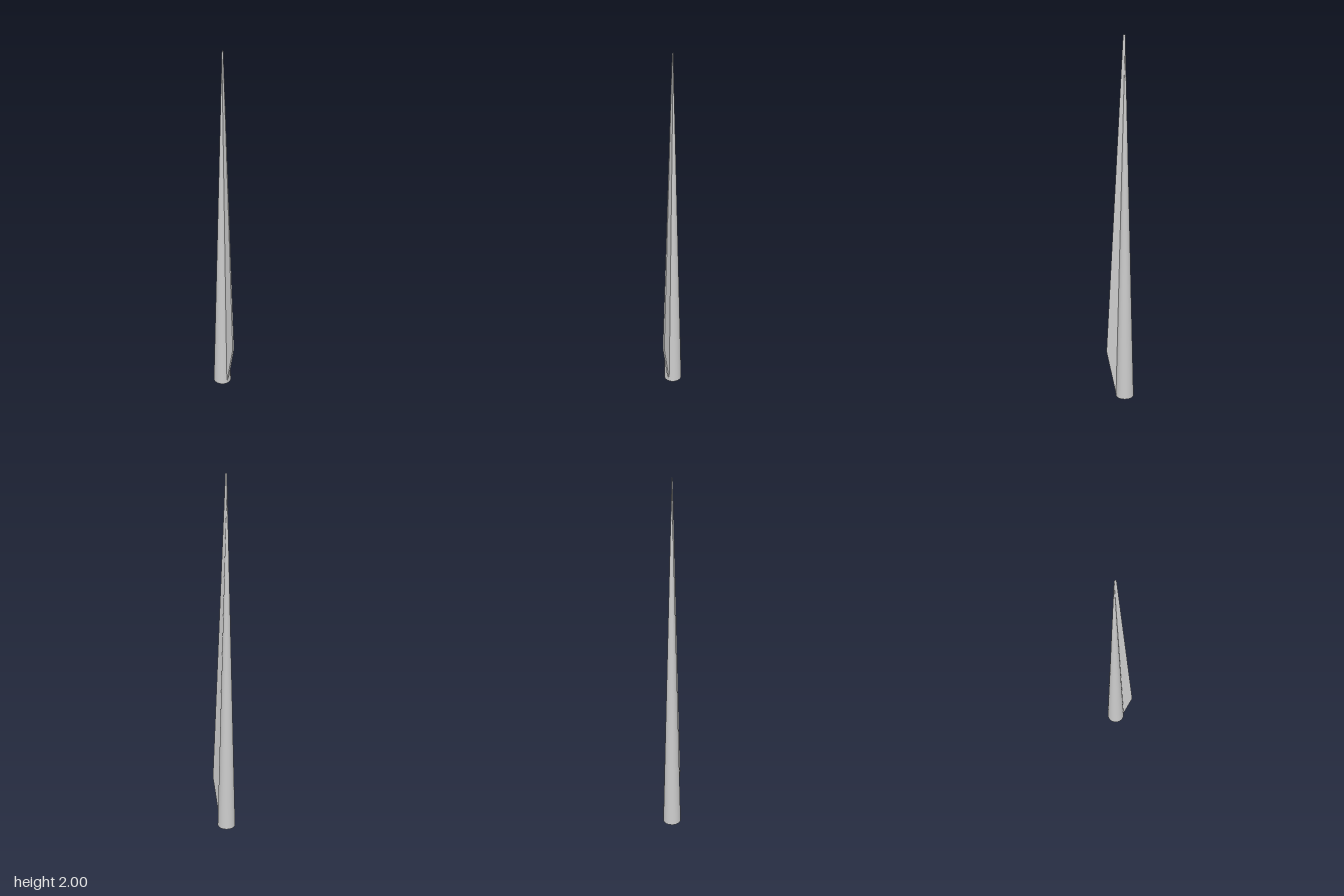
import * as THREE from 'three';

const HEIGHT = 2;
const AXIS_X = -0.026;
const ROOT_RADIUS = 0.049;
const ELBOW_Y = 0.27;
const FIN_THICKNESS = 0.01;

export function createModel() {
  const group = new THREE.Group();
  group.name = 'rotorBlade';
  const material = new THREE.MeshStandardMaterial({ color: 0xcccccc, side: THREE.DoubleSide });

  // Round spar tapering to a point
  const spar = new THREE.Mesh(new THREE.ConeGeometry(ROOT_RADIUS, HEIGHT, 32), material);
  spar.name = 'taperedSpar';
  spar.position.set(AXIS_X, HEIGHT / 2, 0);
  group.add(spar);

  // Flat trailing fin: widest at the elbow, running up to the tip
  const outline = new THREE.Shape([
    new THREE.Vector2(AXIS_X, 0.002),
    new THREE.Vector2(0.021, 0.002),
    new THREE.Vector2(0.074, ELBOW_Y),
    new THREE.Vector2(-0.015, HEIGHT),
    new THREE.Vector2(AXIS_X, HEIGHT),
  ]);
  const finGeometry = new THREE.ExtrudeGeometry(outline, { depth: FIN_THICKNESS, bevelEnabled: false });
  finGeometry.translate(0, 0, -FIN_THICKNESS / 2);

  // Thin the fin towards the tip
  const pos = finGeometry.attributes.position;
  for (let i = 0; i < pos.count; i++) {
    const taper = Math.min(1, (HEIGHT - pos.getY(i)) / (HEIGHT - ELBOW_Y));
    pos.setZ(i, pos.getZ(i) * Math.max(taper, 0.02));
  }
  finGeometry.computeVertexNormals();

  const fin = new THREE.Mesh(finGeometry, material);
  fin.name = 'trailingFin';
  group.add(fin);

  return group;
}
